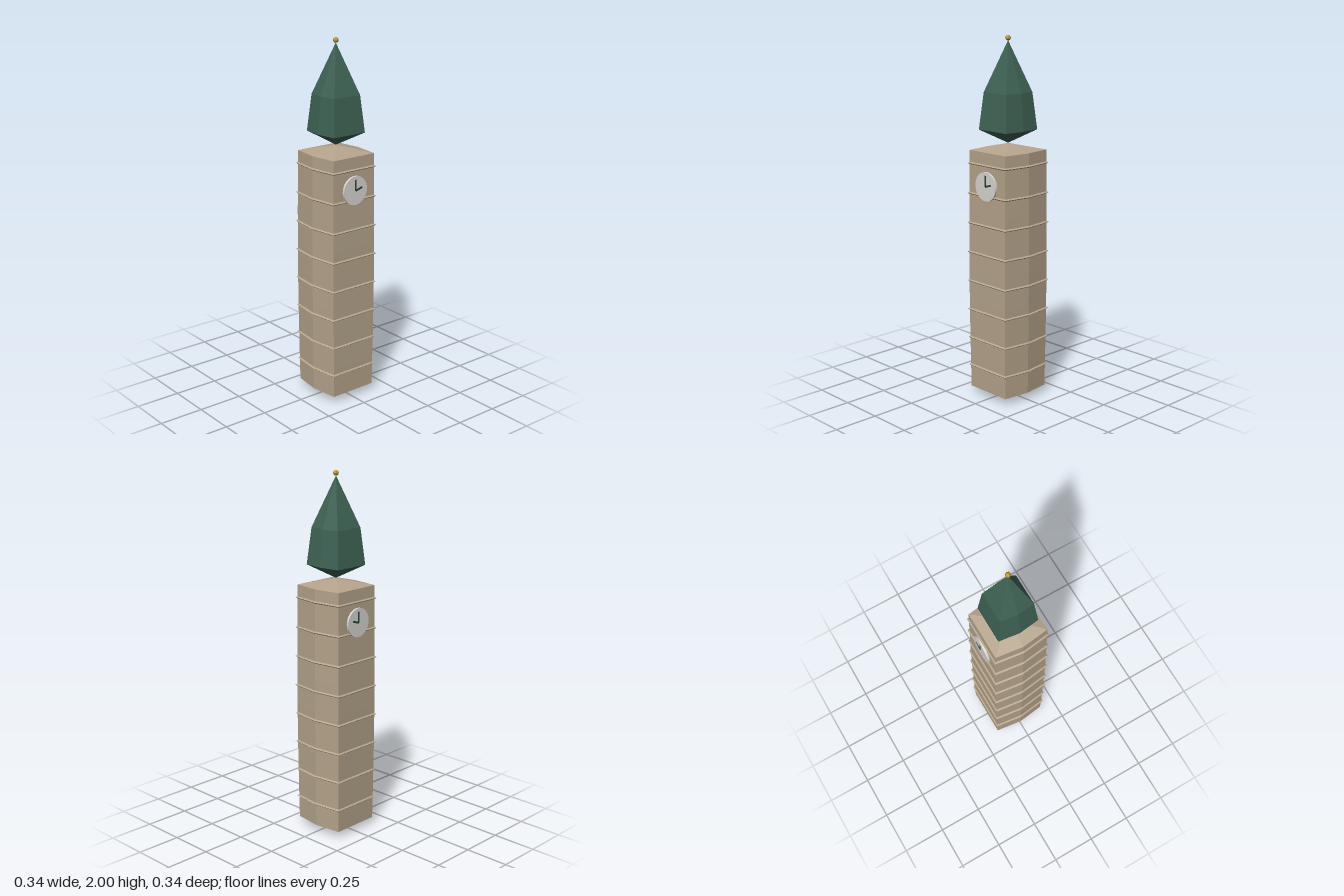
import * as THREE from 'three';

const flat = (name, color) => {
  const m = new THREE.MeshStandardMaterial({ color, flatShading: true });
  m.name = name;
  return m;
};

// Six-sided loft: flat front and back, each flank folded along its middle.
// profile lists [half depth, height] from bottom to top.
function hexLoft(profile) {
  const points = profile.map(([r, y]) => new THREE.Vector2(r, y));
  const geo = new THREE.LatheGeometry(points, 6, Math.PI / 6);
  const p = geo.attributes.position;
  for (let i = 0; i < p.count; i++) {
    const r = Math.hypot(p.getX(i), p.getZ(i));
    const isFold = Math.abs(p.getX(i)) > 0.75 * r;
    p.setX(i, Math.sign(p.getX(i)) * r * (isFold ? 1.03 : 0.9));
    p.setZ(i, isFold ? 0 : Math.sign(p.getZ(i)) * r);
  }
  const result = geo.toNonIndexed();
  result.computeVertexNormals();
  return result;
}

export function createModel() {
  const stone = flat('stone', 0xb5a48b);
  const roofGreen = flat('roof green', 0x3f6355);
  const dialWhite = flat('dial white', 0xd8d6d0);
  const handGreen = flat('hand dark green', 0x24423a);
  const gold = flat('gold', 0xb8902a);

  const model = new THREE.Group();
  model.name = 'clockTower';
  const add = (name, geo, mat, parent = model) => {
    const mesh = new THREE.Mesh(geo, mat);
    mesh.name = name;
    parent.add(mesh);
    return mesh;
  };

  // Shaft, swelling slightly at mid height, closed by shallow points
  const base = 0.04, top = 1.39;
  const shaftRadius = (y) => 0.153 + 0.005 * Math.sin(Math.PI * (y - base) / (top - base));
  const shaft = [[0, 0]];
  for (let i = 0; i <= 8; i++) {
    const y = base + (top - base) * i / 8;
    shaft.push([shaftRadius(y), y]);
  }
  shaft.push([0, 1.427]);
  add('shaft', hexLoft(shaft), stone);

  // String courses with a pointed section
  for (let i = 0; i < 8; i++) {
    const y = 0.168 + i * 0.1645, r = shaftRadius(y);
    add('stringCourse', hexLoft([[r - 0.002, y - 0.008], [r + 0.008, y], [r - 0.002, y + 0.008]]), stone);
  }

  // Spire and its ball
  add('spire', hexLoft([[0, 1.428], [0.116, 1.5], [0.096, 1.7], [0, 1.972]]), roofGreen);
  add('finial', new THREE.SphereGeometry(0.015, 8, 6), gold).position.y = 1.985;

  // Clocks on front and back; the hour hands both point towards +x
  for (const side of [1, -1]) {
    const clock = new THREE.Group();
    clock.name = side > 0 ? 'frontClock' : 'backClock';
    clock.position.y = 1.21;
    model.add(clock);

    const dial = add('dial', new THREE.CylinderGeometry(0.079, 0.079, 0.012, 32), dialWhite, clock);
    dial.rotation.x = Math.PI / 2;
    dial.position.z = side * 0.161;

    for (const [name, length, width, angle] of [
      ['minuteHand', 0.06, 0.008, Math.PI / 2],
      ['hourHand', 0.045, 0.01, 0.3],
    ]) {
      const geo = new THREE.BoxGeometry(length, width, 0.004).translate(length / 2, 0, 0);
      const hand = add(name, geo, handGreen, clock);
      hand.rotation.z = angle;
      hand.position.z = side * 0.168;
    }
  }
  return model;
}
